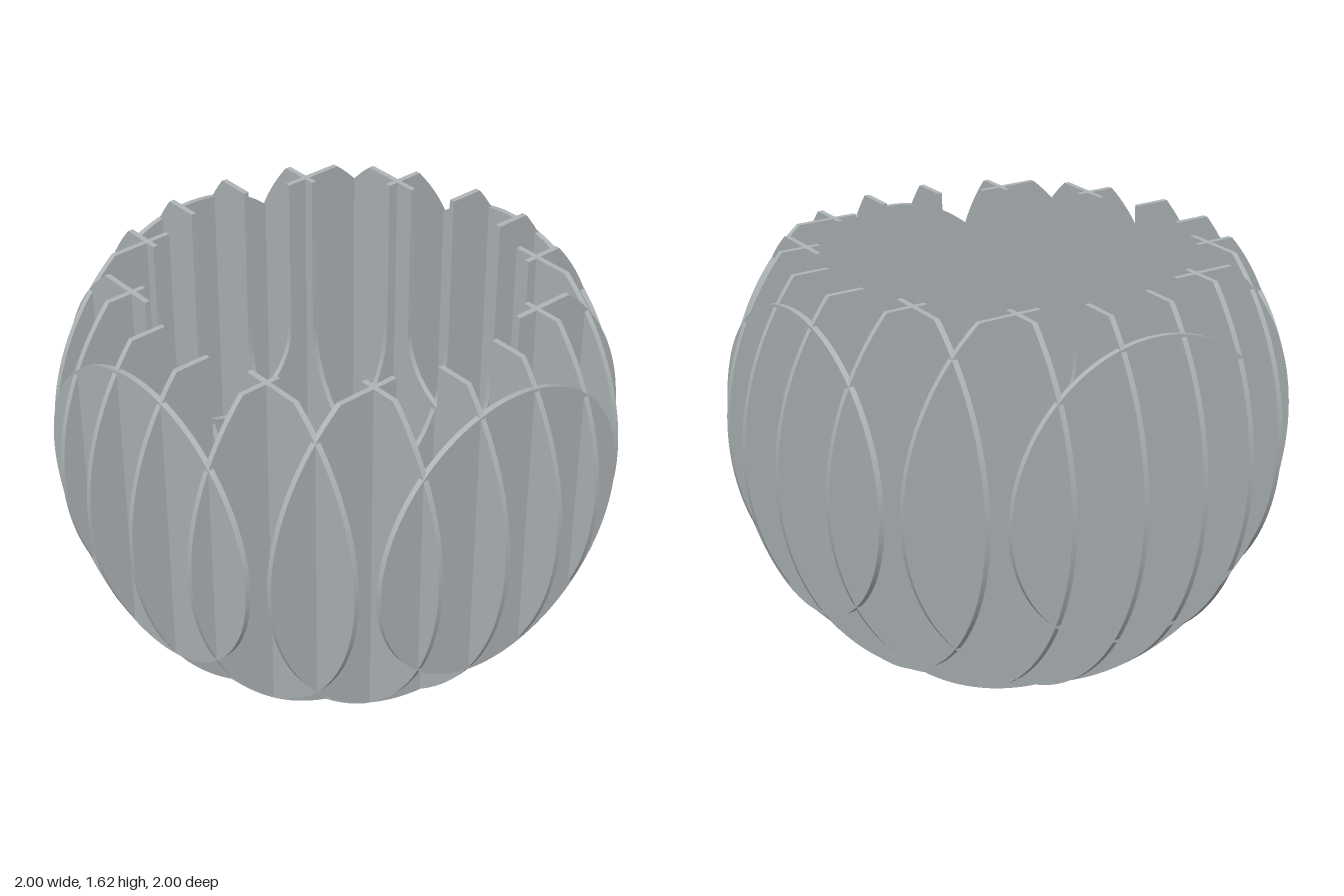
import * as THREE from 'three';
import { toCreasedNormals } from 'three/addons/utils/BufferGeometryUtils.js';

const CENTER_Y = 1;      // height of the sphere centre
const TOP = 0.622;       // flat cut above the centre
const CAVITY = 0.662;    // round-bottomed well inside
const DRAIN = 0.15;      // vertical hole through the bottom
const THICK = 0.02;

// distance from the centre plane, and disc radius, of each pair of ribs
const RIBS = [[0.1205, 1.0], [0.3615, 0.94], [0.6025, 0.803], [0.8435, 0.545]];

// closed disc beyond the cavity, optionally with a cord hole
function discShape(r, holed) {
  const s = new THREE.Shape().absarc(0, 0, r, 0, Math.PI * 2, false);
  if (holed) s.holes.push(new THREE.Path().absarc(0, 0, 0.042, 0, Math.PI * 2, true));
  return s;
}

// U-shaped rib: disc with a flat top and a round-bottomed cutout
function cupShape(r, w) {
  const a = Math.asin(TOP / r);
  const s = new THREE.Shape();
  s.absarc(0, 0, r, a, Math.PI - a, true);
  s.lineTo(-w, TOP);
  s.absarc(0, 0, w, Math.PI, Math.PI * 2, false);
  s.lineTo(w, TOP);
  s.closePath();
  return s;
}

// one side of a U-shaped rib that is split by the drain hole
function halfCupShape(r, w, h) {
  const s = new THREE.Shape();
  s.absarc(0, 0, r, Math.asin(TOP / r), -Math.PI / 2 + Math.asin(h / r), true);
  s.absarc(0, 0, w, -Math.PI / 2 + Math.asin(h / w), 0, false);
  s.lineTo(w, TOP);
  s.closePath();
  return s;
}

function plate(shape) {
  const g = new THREE.ExtrudeGeometry(shape, { depth: THICK, bevelEnabled: false, curveSegments: 72 });
  g.translate(0, 0, -THICK / 2);
  return toCreasedNormals(g, 0.4);
}

export function createModel() {
  const model = new THREE.Group();
  model.name = 'slicedBowl';
  const grey = new THREE.MeshStandardMaterial({ color: 0xaeb4b7 });
  grey.name = 'paleGrey';

  // two crossing sets: ribs facing the front, then ribs facing the sides
  for (const [setName, turn] of [['frontFacingRibs', 0], ['sideFacingRibs', Math.PI / 2]]) {
    const set = new THREE.Group();
    set.name = setName;
    set.position.y = CENTER_Y;
    set.rotation.y = turn;
    for (const [d, r] of RIBS) {
      const w = d < CAVITY ? Math.sqrt(CAVITY * CAVITY - d * d) : 0;
      const split = d < DRAIN;
      let shape;
      if (split) shape = halfCupShape(r, w, Math.sqrt(DRAIN * DRAIN - d * d));
      else if (w) shape = cupShape(r, w);
      else shape = discShape(r, turn > 0);
      const geometry = plate(shape);
      for (const side of [-1, 1]) {
        for (const spin of split ? [0, Math.PI] : [0]) {
          const rib = new THREE.Mesh(geometry, grey);
          rib.name = split ? 'halfRib' : w ? 'cupRib' : 'endDisc';
          rib.position.z = side * d;
          rib.rotation.y = spin;
          set.add(rib);
        }
      }
    }
    model.add(set);
  }
  return model;
}
